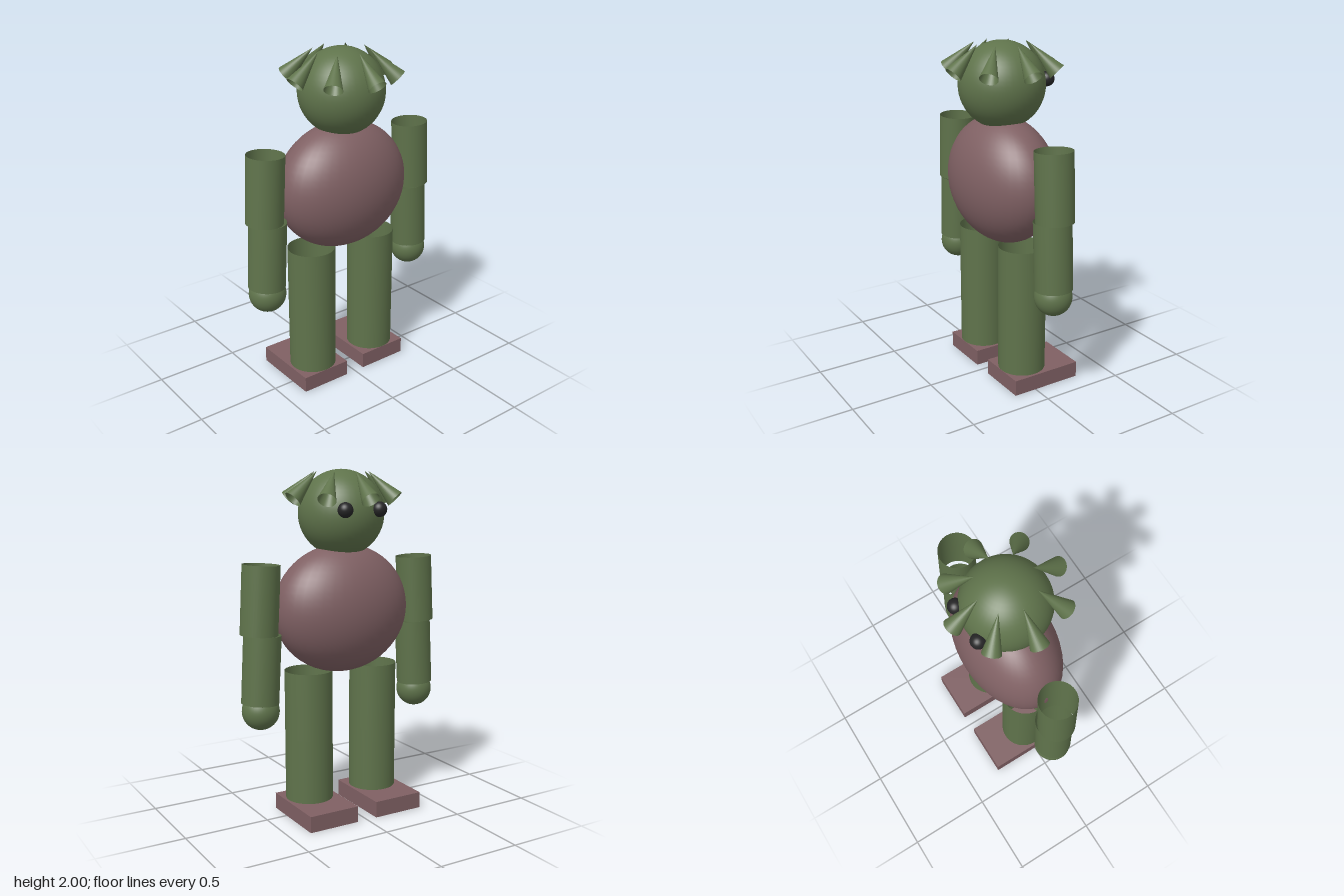
import * as THREE from 'three';

const skin = new THREE.MeshStandardMaterial({ color: 0x5f734b, side: THREE.DoubleSide });
skin.name = 'green skin';
const hide = new THREE.MeshStandardMaterial({ color: 0x7f6063 });
hide.name = 'dusty mauve';
const black = new THREE.MeshStandardMaterial({ color: 0x252526 });
black.name = 'eye black';

export function createModel() {
  const model = new THREE.Group();
  model.name = 'hornedCreature';

  const add = (name, geometry, material, x, y, z) => {
    const mesh = new THREE.Mesh(geometry, material);
    mesh.name = name;
    mesh.position.set(x, y, z);
    model.add(mesh);
    return mesh;
  };
  const ball = (r) => new THREE.SphereGeometry(r, 40, 28);
  // Limb segments are open tubes
  const tube = (r, h) => new THREE.CylinderGeometry(r, r, h, 40, 1, true);

  // Torso and head
  add('torso', ball(1), hide, 0, 1.207, 0).scale.set(0.42, 0.373, 0.27);
  add('head', ball(0.247), skin, 0, 1.753, 0);

  // Ring of horns, tips leaning in over the crown
  for (let i = 0; i < 8; i++) {
    const ring = new THREE.Group();
    ring.name = 'horn' + (i + 1);
    ring.rotation.y = (i * Math.PI) / 4;
    const horn = new THREE.Mesh(new THREE.ConeGeometry(0.052, 0.217, 32, 1, true), skin);
    horn.name = 'hornCone';
    horn.position.set(0.234, 1.911, 0);
    horn.rotation.z = Math.PI / 4;
    ring.add(horn);
    model.add(ring);
  }

  // Paired parts; the face and toes point to -z
  for (const [side, s] of [['left', 1], ['right', -1]]) {
    add(side + 'Eye', ball(0.043), black, s * 0.11, 1.78, -0.23);

    // Arms: two tilted segments and a round hand
    add(side + 'UpperArm', tube(0.107, 0.39), skin, s * 0.52, 1.291, 0).rotation.z = s * 0.055;
    add(side + 'Forearm', tube(0.107, 0.39), skin, s * 0.52, 0.901, 0).rotation.z = s * 0.055;
    add(side + 'Hand', ball(0.107), skin, s * 0.528, 0.66, 0);

    // Legs and flat feet
    add(side + 'Thigh', tube(0.139, 0.39), skin, s * 0.219, 0.667, 0);
    add(side + 'Shin', tube(0.139, 0.39), skin, s * 0.219, 0.277, 0);
    add(side + 'Foot', new THREE.BoxGeometry(0.31, 0.095, 0.435), hide, s * 0.218, 0.0475, -0.0775);
  }
  return model;
}
